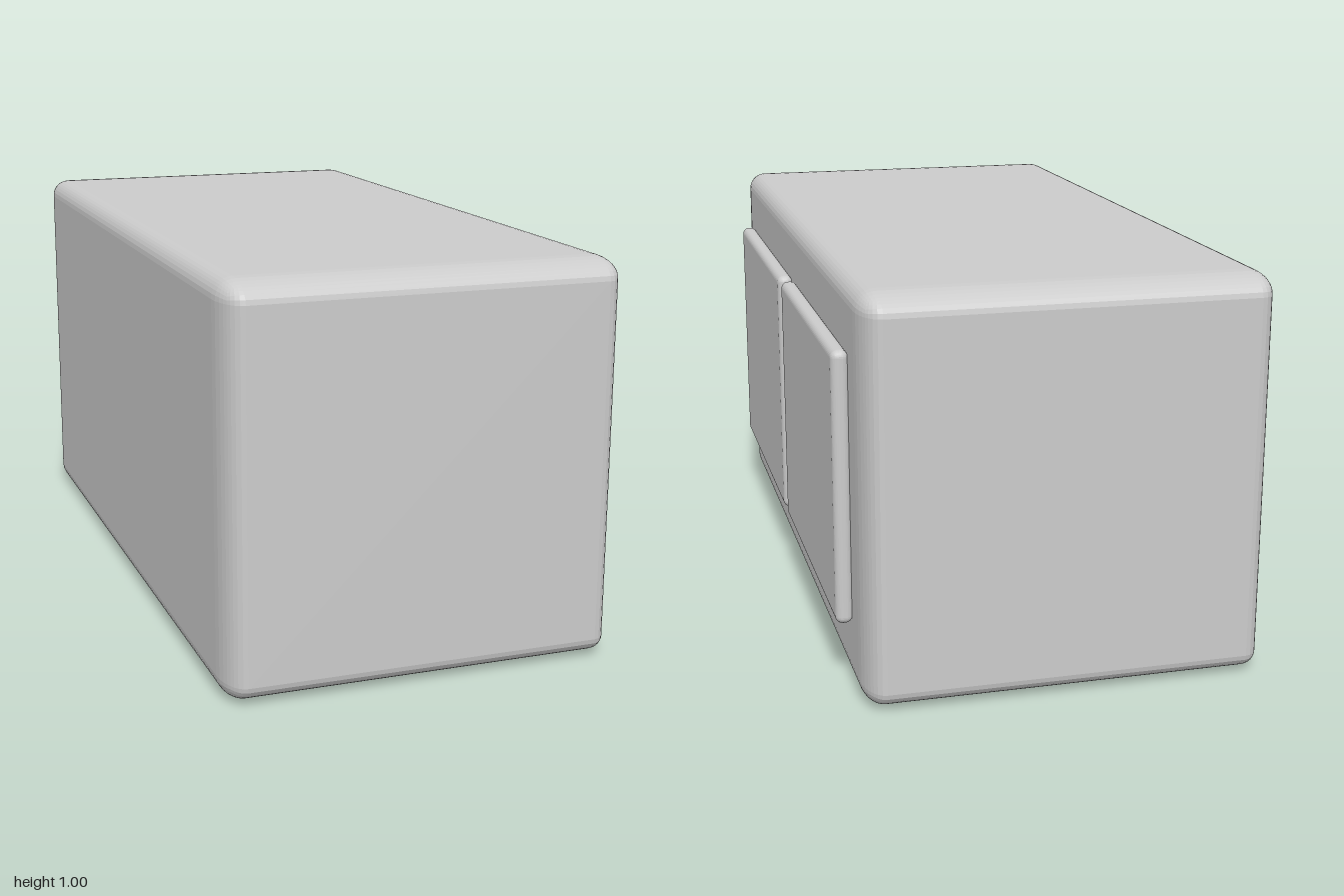
import * as THREE from 'three';
import { RoundedBoxGeometry } from 'three/addons/geometries/RoundedBoxGeometry.js';

export function createModel() {
  const group = new THREE.Group();
  const material = new THREE.MeshStandardMaterial({ color: 0xcccccc, flatShading: true });

  // Cabinet body: a bevelled cube stretched along z, so the bevel is longer there
  const bodyGeometry = new RoundedBoxGeometry(0.997, 1, 1, 4, 0.05);
  bodyGeometry.scale(1, 1, 2);
  const body = new THREE.Mesh(bodyGeometry, material);
  body.name = 'cabinetBody';
  body.position.set(-0.02, 0.5, 0);
  group.add(body);

  // Two door panels side by side on the +x face
  const doorGeometry = new RoundedBoxGeometry(0.042, 0.677, 0.806, 4, 0.018);
  for (const [name, side] of [['frontDoor', 1], ['backDoor', -1]]) {
    const door = new THREE.Mesh(doorGeometry, material);
    door.name = name;
    door.position.set(0.497, 0.502, side * 0.428);
    group.add(door);
  }
  return group;
}
